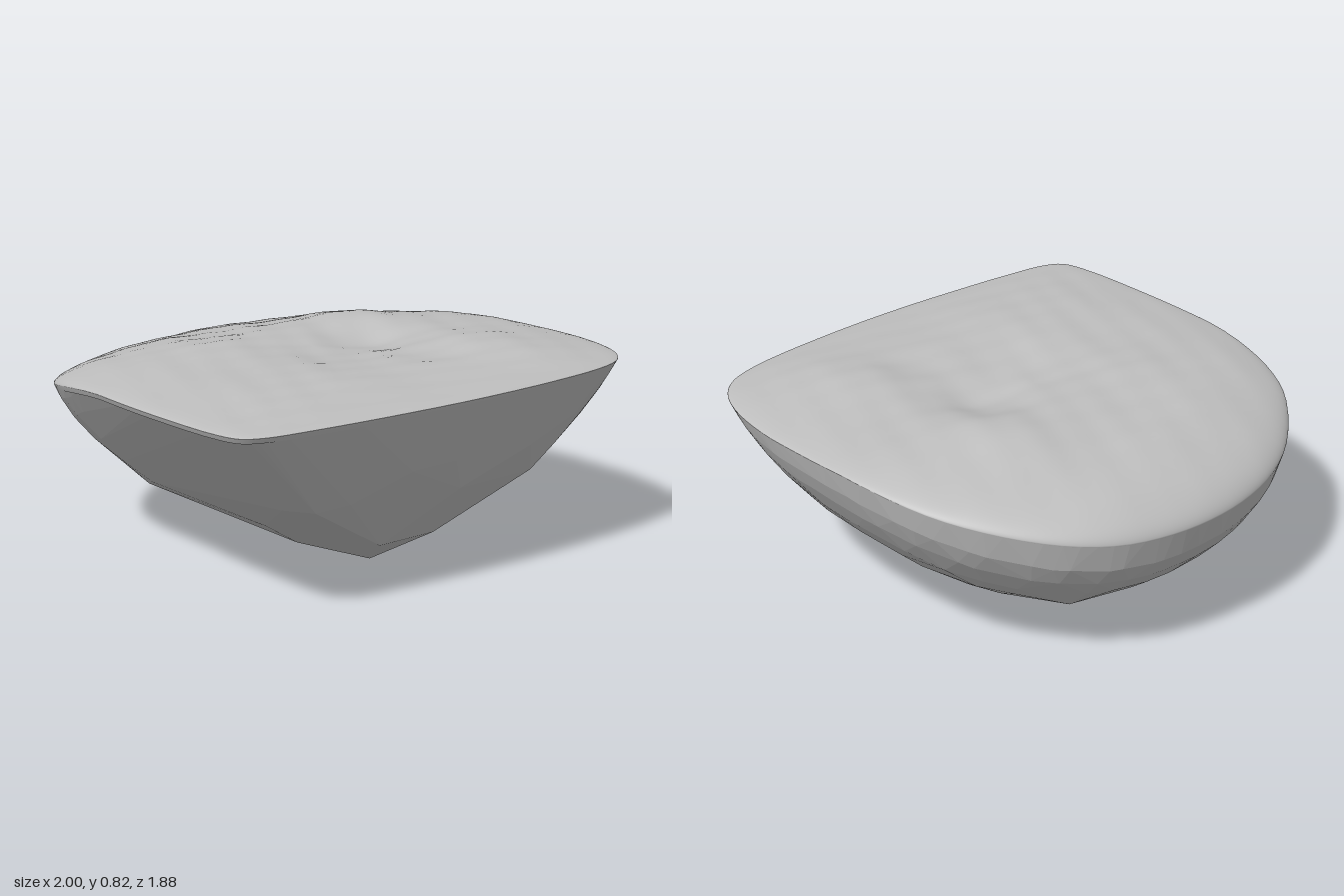
import * as THREE from 'three';
import { ConvexGeometry } from 'three/addons/geometries/ConvexGeometry.js';

// Rim outline seen from above: [x, z, bulge of the underside below it (0.5 round, 1 and over lean)]
const OUTLINE = [
  [0, -0.945, 0.54], [0.2, -0.93, 0.53], [0.4, -0.88, 0.53], [0.58, -0.78, 0.54], [0.75, -0.62, 0.57],
  [0.88, -0.43, 0.61], [0.96, -0.2, 0.65], [0.99, 0, 0.68], [1, 0.2, 0.71], [1, 0.4, 0.75], [0.97, 0.6, 0.82],
  [0.91, 0.75, 0.9], [0.82, 0.84, 0.96], [0.68, 0.89, 1.02], [0.4, 0.925, 1.08], [0, 0.94, 1.12],
  [-0.4, 0.925, 1.15], [-0.7, 0.9, 1.2], [-0.87, 0.875, 1.25], [-0.95, 0.83, 1.3], [-0.98, 0.73, 1.3],
  [-0.995, 0.4, 1.25], [-0.99, 0.1, 1.18], [-0.965, -0.2, 1], [-0.91, -0.42, 0.85], [-0.82, -0.58, 0.73],
  [-0.6, -0.78, 0.63], [-0.4, -0.88, 0.58], [-0.2, -0.93, 0.55],
];
const curve = new THREE.CatmullRomCurve3(OUTLINE.map(([x, z, b]) => new THREE.Vector3(x, b, z)), true);
const SEGMENTS = 96;

// Rim height falls away towards the back
const rimY = (z) => (z > 0 ? 0.74 + 0.02 * z / 0.94 : 0.74 - 0.19 * Math.pow(-z / 0.945, 1.4));

function randomMaker(seed) {
  return () => {
    seed = (seed * 16807) % 2147483647;
    return seed / 2147483647 - 0.5;
  };
}

// Corners of the large facets around the keel
const KEEL = [
  [0, 0, 0.36], [0, 0.015, 0.1], [0.17, 0.06, 0.38], [-0.13, 0.14, 0.58], [0.13, 0.14, 0.58],
  [0.49, 0.12, 0], [0.59, 0.23, -0.28], [0.37, 0.19, -0.59], [0, 0.125, -0.53],
  [-0.23, 0.07, 0.2], [-0.42, 0.19, 0.25],
];

// Underside: faceted hull of rings that shrink towards the keel
function underside() {
  const random = randomMaker(41);
  const points = KEEL.map((p) => new THREE.Vector3(...p));
  const rings = [[0.66, 16], [0.77, 24], [0.86, 34], [0.93, 48], [0.975, 64], [1, SEGMENTS]];
  for (const [s, count] of rings) {
    for (let i = 0; i < count; i++) {
      const shift = s < 1 ? random() * 0.7 : 0;
      const r = curve.getPoint(((i + shift) / count + 1) % 1);
      const t = s + random() * 0.12 * (1 - s);
      const keelZ = 0.23 + 0.14 * r.z;
      const y = 0.015 + (rimY(r.z) - 0.015) * (1 - Math.pow(1 - t * t, r.y));
      points.push(new THREE.Vector3(r.x * t, y, keelZ + (r.z - keelZ) * t));
    }
  }
  // Keep only the faces below the rim
  const hull = new ConvexGeometry(points);
  const pos = hull.getAttribute('position');
  const nor = hull.getAttribute('normal');
  const kept = [];
  for (let i = 0; i < pos.count; i += 3) {
    if (nor.getY(i) > 0.3) continue;
    for (let k = i; k < i + 3; k++) kept.push(pos.getX(k), pos.getY(k), pos.getZ(k));
  }
  const geometry = new THREE.BufferGeometry();
  geometry.setAttribute('position', new THREE.Float32BufferAttribute(kept, 3));
  geometry.computeVertexNormals();
  return geometry;
}

// Broad swells and hollows on top: [x, z, radius, height]
const SWELLS = [
  [0.55, 0.5, 0.3, 0.03], [0.4, -0.24, 0.22, 0.03], [-0.4, 0.5, 0.3, 0.015],
  [-0.4, -0.2, 0.3, 0.012], [0.25, 0.03, 0.17, -0.045], [0, 0.15, 0.18, -0.02], [0.25, 0.42, 0.12, -0.018],
];

function relief(x, z) {
  let h = -0.07 * Math.max(0, -z - 0.2);
  for (const [cx, cz, r, a] of SWELLS) h += a * Math.exp(-((x - cx) ** 2 + (z - cz) ** 2) / (r * r));
  h += 0.004 * Math.sin(11 * x + 7 * z) * Math.sin(9 * z - 5 * x + 1);
  h += 0.003 * Math.sin(23 * x - 15 * z + 2) * Math.sin(27 * z + 12 * x);
  return h;
}

// Top: smooth rings from the middle to a rounded rim, then a small tucked lip
function topSurface() {
  const RINGS = 40;
  const vertices = [];
  const index = [];
  for (let j = 0; j <= RINGS + 1; j++) {
    const lip = j > RINGS;
    const s = lip ? 0.99 : Math.sin((j / RINGS) * Math.PI / 2);
    for (let i = 0; i < SEGMENTS; i++) {
      const r = curve.getPoint(i / SEGMENTS);
      const x = r.x * s;
      const z = r.z * s;
      const edge = rimY(r.z);
      const rise = lip ? 0 : Math.pow(Math.max(0, 1 - Math.pow(s, 4)), 0.6);
      const y = lip ? edge - 0.02 : edge + (0.79 - edge + relief(x, z)) * rise;
      vertices.push(x, y, z);
      if (j > 0) {
        const a = (j - 1) * SEGMENTS + i;
        const b = (j - 1) * SEGMENTS + (i + 1) % SEGMENTS;
        const c = a + SEGMENTS;
        const d = b + SEGMENTS;
        if (j > 1) index.push(a, b, c);
        index.push(b, d, c);
      }
    }
  }
  const geometry = new THREE.BufferGeometry();
  geometry.setAttribute('position', new THREE.Float32BufferAttribute(vertices, 3));
  geometry.setIndex(index);
  geometry.computeVertexNormals();
  // All centre vertices share one upright normal
  const nor = geometry.getAttribute('normal');
  for (let i = 0; i < SEGMENTS; i++) nor.setXYZ(i, 0, 1, 0);
  return geometry;
}

export function createModel() {
  const group = new THREE.Group();
  group.name = 'rock';
  const stone = new THREE.MeshStandardMaterial({ color: 0xbebebe });
  stone.name = 'grey stone';
  const add = (name, geometry) => {
    const mesh = new THREE.Mesh(geometry, stone);
    mesh.name = name;
    group.add(mesh);
  };
  add('rockUnderside', underside());
  add('rockTop', topSurface());
  return group;
}
